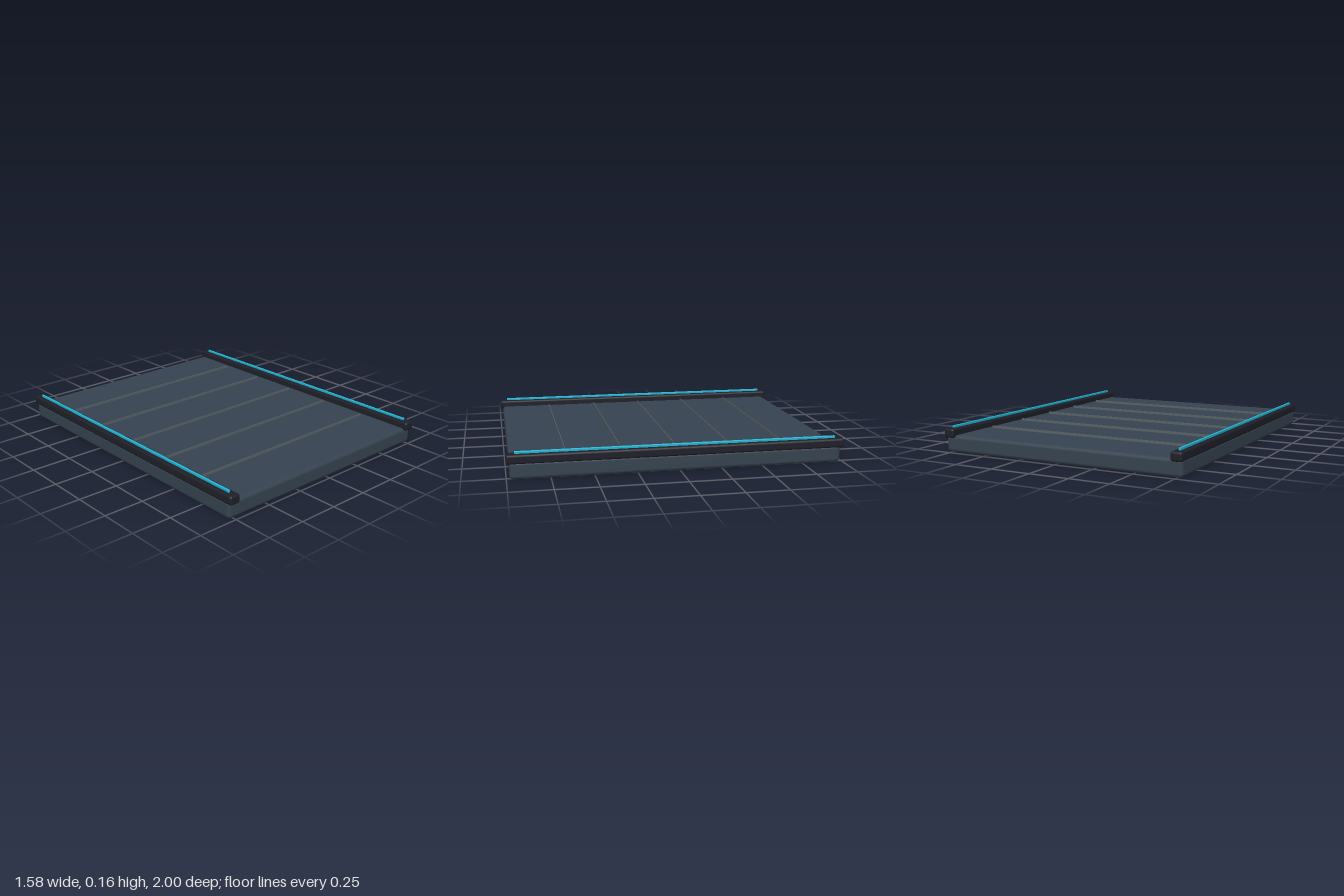
import * as THREE from 'three';
import { RoundedBoxGeometry } from 'three/addons/geometries/RoundedBoxGeometry.js';

const paint = (name, color) => {
  const m = new THREE.MeshStandardMaterial({ color });
  m.name = name;
  return m;
};

export function createModel() {
  const slate = paint('slate', 0x364350);
  const black = paint('charcoal', 0x1f1f29);
  const cyan = paint('cyan glow', 0x1fb4d2);
  const grey = paint('seam grey', 0x5a6266);

  const group = new THREE.Group();
  group.name = 'floorPanel';

  // Box given by its centre x and z, bottom y and size, with optional rounded edges
  const box = (name, material, [x, y, z], [w, h, d], radius = 0) => {
    const geometry = radius
      ? new RoundedBoxGeometry(w, h, d, 3, radius)
      : new THREE.BoxGeometry(w, h, d);
    const mesh = new THREE.Mesh(geometry, material);
    mesh.name = name;
    mesh.position.set(x, y + h / 2, z);
    group.add(mesh);
  };

  // Main slab
  box('deck', slate, [0, 0, 0], [1.57, 0.105, 1.964], 0.022);

  // Side rails, each with a light strip on top
  for (const [side, sx] of [['left', 1], ['right', -1]]) {
    box(`${side}Rail`, black, [sx * 0.755, 0.09, 0], [0.07, 0.056, 2], 0.014);
    box(`${side}LightStrip`, cyan, [sx * 0.755, 0.142, 0], [0.014, 0.018, 1.904], 0.004);
  }

  // Fine raised seams across the deck
  for (let i = -2; i <= 2; i++) {
    box(`seam${i + 3}`, grey, [0, 0.103, i * 0.327], [1.374, 0.017, 0.004]);
  }
  return group;
}
